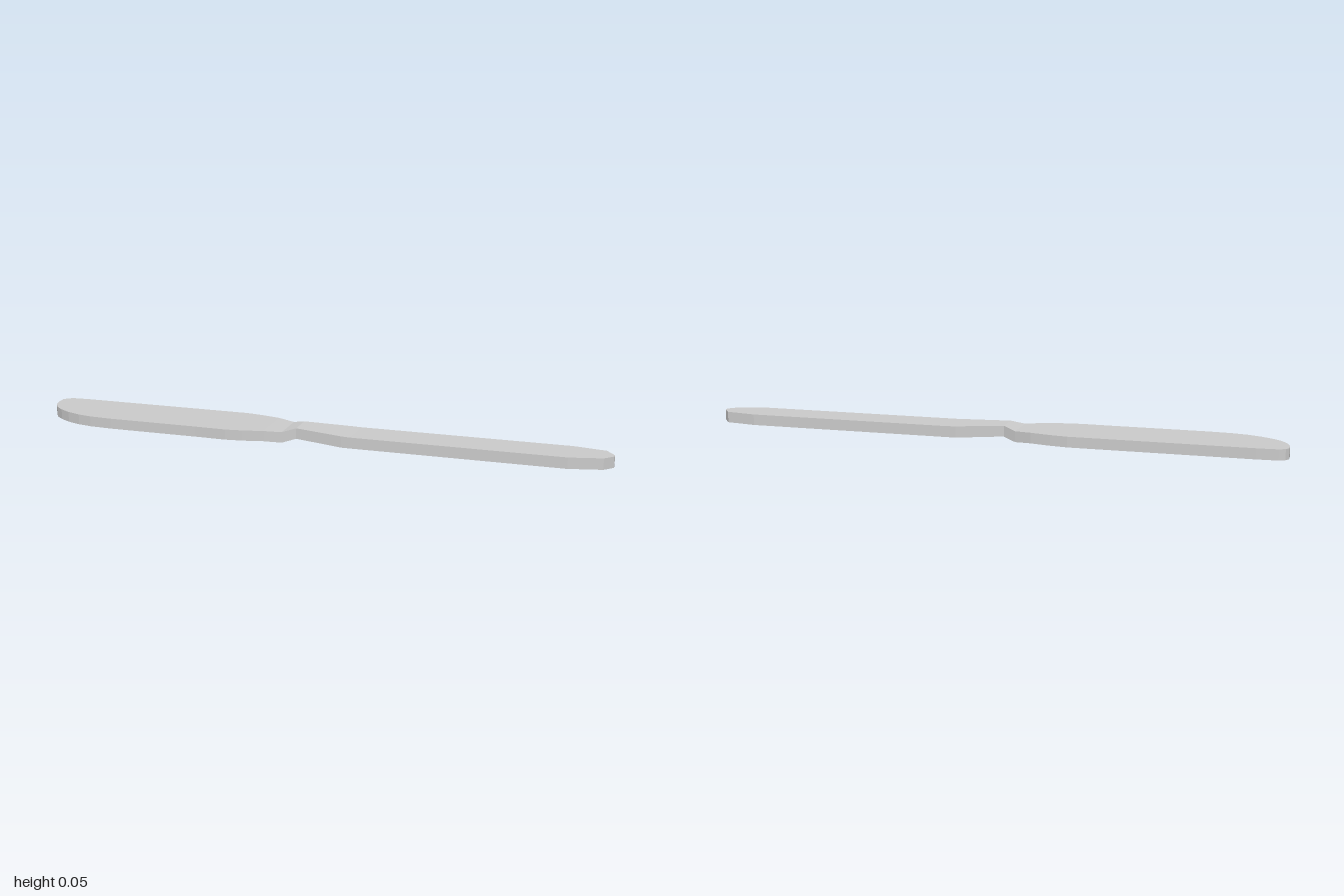
import * as THREE from 'three';

// Loft rectangular sections [x, zBack, zFront, yBottom, yTop] along x
function loft(sections, capStart, capEnd) {
  const rings = sections.map(([x, zb, zf, y0, y1]) => [
    [x, y0, zf], [x, y0, zb], [x, y1, zb], [x, y1, zf],
  ]);
  const pos = [];
  const quad = (a, b, c, d) => pos.push(...a, ...b, ...c, ...a, ...c, ...d);
  for (let i = 0; i < rings.length - 1; i++) {
    const r = rings[i], s = rings[i + 1];
    for (let k = 0; k < 4; k++) {
      const n = (k + 1) % 4;
      quad(r[k], r[n], s[n], s[k]);
    }
  }
  if (capStart) quad(...[...rings[0]].reverse());
  if (capEnd) quad(...rings[rings.length - 1]);
  const geo = new THREE.BufferGeometry();
  geo.setAttribute('position', new THREE.Float32BufferAttribute(pos, 3));
  geo.computeVertexNormals();
  return geo;
}

export function createModel() {
  const steel = new THREE.MeshStandardMaterial({ color: 0xcccccc, flatShading: true });
  steel.name = 'steel';
  const knife = new THREE.Group();
  knife.name = 'tableKnife';

  const add = (name, geo) => {
    const mesh = new THREE.Mesh(geo, steel);
    mesh.name = name;
    knife.add(mesh);
  };

  const bladeEnd = [-0.1, -0.062, 0.07, 0, 0.037];
  const neckTop = [-0.055, -0.041, 0.049, 0.012, 0.049];
  const handleStart = [0.11, -0.06, 0.069, 0.002, 0.041];

  // Blade: straight spine, rounded cutting edge; [x, zBack, zFront]
  const outline = [
    [-1, -0.08, -0.05], [-0.99, -0.095, -0.012], [-0.97, -0.106, 0.02],
    [-0.94, -0.108, 0.046], [-0.9, -0.11, 0.07], [-0.85, -0.11, 0.089],
    [-0.8, -0.11, 0.099], [-0.72, -0.11, 0.104], [-0.4, -0.11, 0.105],
    [-0.29, -0.11, 0.107], [-0.23, -0.101, 0.1], [-0.16, -0.084, 0.085],
  ];
  const blade = outline.map(([x, zb, zf]) => [x, zb, zf, 0.004, 0.04]);
  add('blade', loft([...blade, bladeEnd], true, false));

  // Raised, pinched neck
  add('neck', loft([bladeEnd, neckTop, handleStart], false, false));

  // Handle with a tapered butt
  add('handle', loft([
    handleStart,
    [0.14, -0.06, 0.07, 0.002, 0.04],
    [0.86, -0.06, 0.07, 0.002, 0.04],
    [0.97, -0.041, 0.045, 0.002, 0.04],
    [1, 0, 0.014, 0.002, 0.04],
  ], false, true));

  return knife;
}
